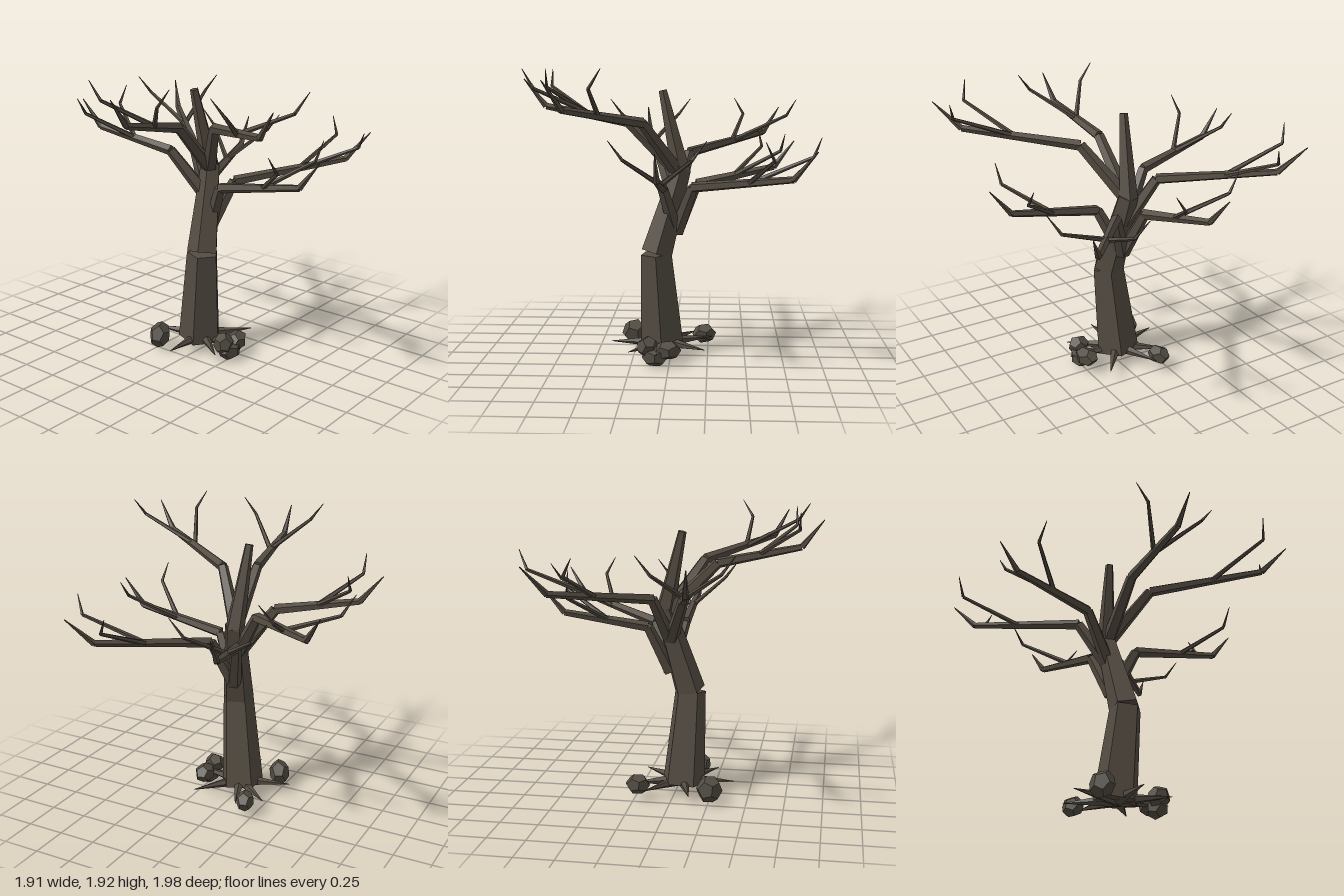
import * as THREE from 'three';

const bark = new THREE.MeshStandardMaterial({ color: 0x544c42, flatShading: true });
bark.name = 'bark';
const stone = new THREE.MeshStandardMaterial({ color: 0x524d43, flatShading: true });
stone.name = 'stone';

const UP = new THREE.Vector3(0, 1, 0);
const vec = (x, y, z) => new THREE.Vector3(x, y, z);

// Tapered five-sided limb between two points
function limb(name, a, b, r0, r1) {
  const dir = b.clone().sub(a);
  const mesh = new THREE.Mesh(new THREE.CylinderGeometry(r1, r0, dir.length(), 5), bark);
  mesh.name = name;
  mesh.position.copy(a).add(b).multiplyScalar(0.5);
  mesh.quaternion.setFromUnitVectors(UP, dir.normalize());
  return mesh;
}

// Chain of limbs through points, one radius per point
function chain(name, points, radii) {
  const group = new THREE.Group();
  group.name = name;
  for (let i = 0; i < points.length - 1; i++) {
    group.add(limb(name + 'Segment', points[i], points[i + 1], radii[i], radii[i + 1]));
  }
  return group;
}

// Tiers: where boughs leave the trunk and the height of their kink
const low = { base: vec(0.037, 0.85, -0.012), kinkY: 1.16 };
const mid = { base: vec(0.03, 1.05, -0.03), kinkY: 1.365 };
const high = { base: vec(0.05, 1.25, -0.03), kinkY: 1.58 };

// Plan positions (x, z) of each bough's kink, fork and tip
const BOUGHS = [
  { name: 'backBough', tier: mid, kink: [-0.09, -0.25], fork: [-0.14, -0.52], tip: [-0.21, -0.93] },
  { name: 'backLeftBough', tier: mid, kink: [0.12, -0.22], fork: [0.41, -0.54], tip: [0.76, -0.92] },
  { name: 'leftBough', tier: low, kink: [0.17, -0.1], fork: [0.42, -0.17], tip: [0.83, -0.28] },
  { name: 'frontLeftBough', tier: low, kink: [0.15, 0.1], fork: [0.5, 0.37], tip: [0.9, 0.69] },
  { name: 'frontBough', tier: low, kink: [-0.045, 0.13], fork: [-0.04, 0.46], tip: [-0.05, 0.88] },
  { name: 'frontRightBough', tier: high, kink: [-0.17, 0.18], fork: [-0.41, 0.53], tip: [-0.68, 0.97] },
  { name: 'rightBough', tier: high, kink: [-0.28, -0.02], fork: [-0.54, 0.01], tip: [-0.955, 0.045] },
];

// Bough rising to a kink, running out to an elbow and turning up, with two forked twigs
function makeBough({ name, tier, kink, fork, tip }) {
  const at = ([x, z], rise) => vec(x, tier.kinkY + rise, z);
  const forkPoint = at(fork, 0.055);
  const tipPoint = at(tip, 0.28);
  const elbow = forkPoint.clone().lerp(tipPoint, 0.66).setY(tier.kinkY + 0.105);
  const bough = chain(name, [tier.base, at(kink, 0), elbow, tipPoint], [0.05, 0.036, 0.022, 0.003]);

  const reach = tipPoint.clone().sub(forkPoint).setY(0);
  const along = reach.clone().setLength(reach.length() - 0.165);
  for (const side of [-1, 1]) {
    const outward = reach.clone().normalize().applyAxisAngle(UP, side * Math.PI / 2);
    const bend = forkPoint.clone().add(along).addScaledVector(outward, 0.205).setY(tier.kinkY + 0.23);
    const end = bend.clone().addScaledVector(outward, 0.088).setY(tier.kinkY + 0.345);
    bough.add(chain('twig', [forkPoint, bend, end], [0.018, 0.011, 0.002]));
  }
  return bough;
}

// Angular boulder, squashed on each axis
function rock(pos, size, turn) {
  const mesh = new THREE.Mesh(new THREE.DodecahedronGeometry(1, 0), stone);
  mesh.name = 'rock';
  mesh.position.set(...pos);
  mesh.scale.set(...size);
  mesh.rotation.set(turn * 0.3, turn, turn * 0.2);
  return mesh;
}

export function createModel() {
  const tree = new THREE.Group();
  tree.name = 'bareTree';

  // Trunk in three leaning sections
  const trunk = new THREE.Group();
  trunk.name = 'trunk';
  trunk.add(
    limb('lowerTrunk', vec(-0.055, 0.08, -0.026), vec(-0.093, 0.71, 0.027), 0.15, 0.108),
    limb('middleTrunk', vec(-0.09, 0.71, 0.025), vec(0.07, 1.27, -0.035), 0.108, 0.068),
    limb('upperTrunk', vec(0.07, 1.24, -0.035), vec(-0.055, 1.785, -0.075), 0.066, 0.028),
  );
  tree.add(trunk);

  // Each bough has a pointed root spreading below it
  const roots = new THREE.Group();
  roots.name = 'roots';
  const foot = vec(-0.05, 0.095, -0.015);
  for (const spec of BOUGHS) {
    tree.add(makeBough(spec));
    const end = vec(spec.fork[0], 0, spec.fork[1]).setLength(0.35).add(foot);
    roots.add(limb('root', foot, end, 0.045, 0.002));
  }
  tree.add(roots);

  // Rocks around the foot
  const rocks = new THREE.Group();
  rocks.name = 'rocks';
  rocks.add(
    rock([-0.26, 0.105, -0.22], [0.09, 0.092, 0.072], 0.4),
    rock([0.225, 0.105, -0.195], [0.085, 0.07, 0.062], 0.3),
    rock([-0.01, 0.105, 0.245], [0.095, 0.065, 0.07], 0.2),
    rock([-0.14, 0.125, 0.235], [0.075, 0.075, 0.068], 0.8),
    rock([-0.09, 0.066, 0.25], [0.09, 0.069, 0.072], 0),
  );
  tree.add(rocks);
  return tree;
}
